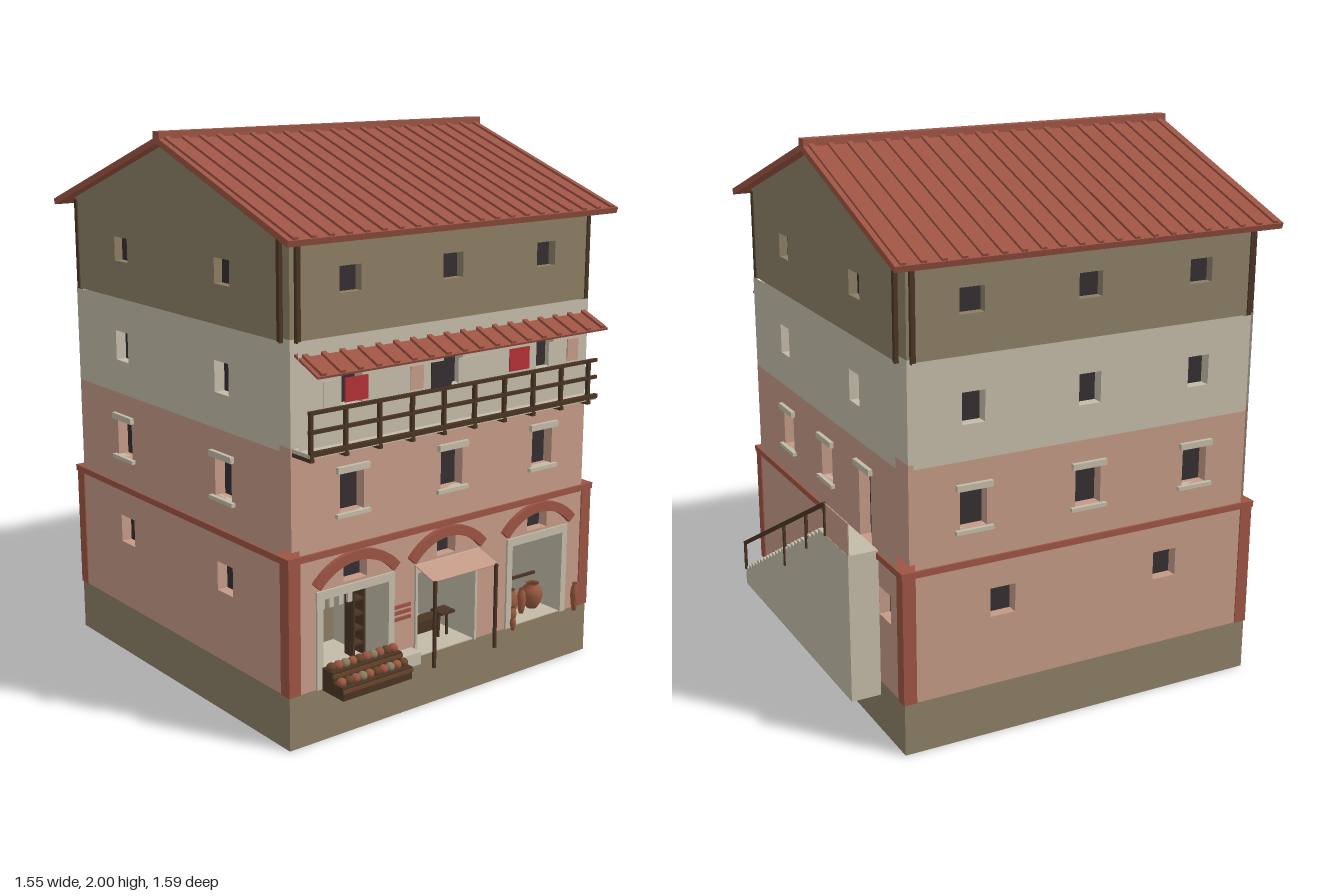
import * as THREE from 'three';

const mat = (name, color, side = THREE.DoubleSide) => {
  const m = new THREE.MeshStandardMaterial({ color, side });
  m.name = name;
  return m;
};

export function createModel() {
  const model = new THREE.Group();
  model.name = 'townhouse';
  const tan = mat('tan stone', 0x8c7e64), salmon = mat('salmon plaster', 0xc49a86);
  const beige = mat('beige plaster', 0xc4bba9), red = mat('roof red', 0x9d5444);
  const wood = mat('dark wood', 0x4a3524), brown = mat('brown wood', 0x6b452c);
  const dark = mat('dark opening', 0x352e30), cloth = mat('red cloth', 0xb43035);
  const clay = mat('clay', 0x9a5a40);
  const CX = -0.045, CZ = -0.033, H = 0.7, IN = 0.656;

  const add = (name, geo, m, parent = model) => {
    const mesh = new THREE.Mesh(geo, m);
    mesh.name = name;
    parent.add(mesh);
    return mesh;
  };
  // Box given by its minimum and maximum on each axis
  const box = (name, m, x0, x1, y0, y1, z0, z1, parent = model) => {
    const b = add(name, new THREE.BoxGeometry(x1 - x0, y1 - y0, z1 - z0), m, parent);
    b.position.set((x0 + x1) / 2, (y0 + y1) / 2, (z0 + z1) / 2);
    return b;
  };
  // Bar running between two points
  const beam = (name, m, p, q, w, h) => {
    const a = new THREE.Vector3(...p), b = new THREE.Vector3(...q);
    const bar = add(name, new THREE.BoxGeometry(w, h, a.distanceTo(b)), m);
    bar.position.copy(a).add(b).multiplyScalar(0.5);
    bar.lookAt(b);
    return bar;
  };
  const rect = (P, x0, x1, y0, y1) => {
    const p = new P();
    p.moveTo(x0, y0); p.lineTo(x1, y0); p.lineTo(x1, y1); p.lineTo(x0, y1); p.closePath();
    return p;
  };

  // Wall sheet with recessed windows [centre, bottom, width, height]; doors are open holes
  function wall(name, m, angle, y0, y1, dist, windows, trim = false, doors = []) {
    const g = new THREE.Group();
    g.name = name;
    g.position.set(CX, 0, CZ);
    g.rotation.y = angle;
    model.add(g);
    const shape = rect(THREE.Shape, -IN, IN, y0, y1);
    for (const [u, y, w, h] of [...windows, ...doors])
      shape.holes.push(rect(THREE.Path, u - w / 2, u + w / 2, y, y + h));
    add(name + 'Face', new THREE.ShapeGeometry(shape), m, g).position.z = dist;
    for (const [u, y, w, h] of windows) {
      const a = u - w / 2, b = u + w / 2, t = 0.002, zi = IN + 0.002;
      box('windowPane', dark, a, b, y, y + h, zi, zi + 0.002, g);
      box('windowReveal', m, a - t, a, y, y + h, zi, dist, g);
      box('windowReveal', m, b, b + t, y, y + h, zi, dist, g);
      box('windowReveal', m, a, b, y - t, y, zi, dist, g);
      box('windowReveal', m, a, b, y + h, y + h + t, zi, dist, g);
      if (trim) {
        box('lintel', beige, a - 0.017, b + 0.017, y + h, y + h + 0.022, dist - 0.02, dist + 0.015, g);
        if (y > 0.7) box('sill', beige, a - 0.02, b + 0.02, y - 0.014, y, dist - 0.02, dist + 0.015, g);
      }
    }
    return g;
  }

  // Plinth, cornice and corner piers
  box('plinth', tan, CX - H, CX + H, 0, 0.19, CZ - H, CZ + H);
  box('cornice', red, CX - 0.708, CX + 0.708, 0.65, 0.673, CZ - 0.708, CZ + 0.708);
  for (const i of [-1, 1]) for (const j of [-1, 1]) {
    const p = add('cornerPier', new THREE.BoxGeometry(0.048, 0.46, 0.048), red);
    p.position.set(CX + i * 0.68, 0.42, CZ + j * 0.68);
  }

  // Walls, in the order front, right, back, left
  const angles = [0, Math.PI / 2, Math.PI, -Math.PI / 2];
  const sides = ['front', 'right', 'back', 'left'];
  const row = (us, y, w, h) => us.map(u => [u, y, w, h]);
  const three = [-0.44, 0, 0.44], two = [-0.328, 0.328];
  const shops = [[-0.47, 0.28], [-0.064, 0.27], [0.382, 0.256]];
  const ground = [shops.map(([x], i) => [x - CX, 0.545, i === 1 ? 0.085 : 0.1, 0.07]),
    row([0.55], 0.445, 0.095, 0.105), row(two, 0.445, 0.095, 0.105), row(two, 0.445, 0.095, 0.105)];
  const doors = shops.map(([x, w]) => [x - CX, 0.19, w, 0.315]);
  angles.forEach((a, i) => {
    const many = i % 2 ? two : three;
    const second = i === 1 ? [...row([-0.32, 0.06], 0.787, 0.1, 0.138), [0.4, 0.68, 0.1, 0.255]]
      : row(many, 0.787, 0.1, 0.138);
    wall(sides[i] + 'GroundWall', salmon, a, 0.19, 0.65, H, ground[i], false, i ? [] : doors);
    wall(sides[i] + 'SecondWall', salmon, a, 0.67, 1.025, H, second, true);
    wall(sides[i] + 'ThirdWall', beige, a, 1.025, 1.38, H, row(many, 1.15, 0.085, 0.11));
    const g = wall(sides[i] + 'TopWall', tan, a, 1.38, 1.725, 0.692, row(many, 1.517, 0.09, 0.087));
    for (const s of [-1, 1])
      box('cornerTimber', wood, s * 0.65 - 0.008, s * 0.65 + 0.008, 1.375, 1.715, 0.683, 0.697, g);
  });
  for (const [m, y0, y1] of [[salmon, 0.67, 1.025], [beige, 1.025, 1.38], [tan, 1.38, 1.725]])
    box('innerCore', m, CX - IN, CX + IN, y0, y1, CZ - IN, CZ + IN);

  // Gable ends
  const tri = new THREE.Shape([new THREE.Vector2(-0.69, 1.72), new THREE.Vector2(0.69, 1.72), new THREE.Vector2(0, 1.965)]);
  for (const s of [-1, 1]) {
    const gable = add('gable', new THREE.ShapeGeometry(tri), tan);
    gable.position.set(CX + s * 0.692, 0, CZ);
    gable.rotation.y = s * Math.PI / 2;
  }

  // Main roof with rows of tiles
  for (const s of [-1, 1]) {
    const ze = CZ + s * 0.752;
    beam('roofSlope', red, [-0.0425, 1.97, CZ], [-0.0425, 1.7, ze], 1.465, 0.022);
    for (let i = 0; i < 21; i++) {
      const x = -0.745 + i * 0.0703;
      beam('roofTileRow', red, [x, 1.981, CZ], [x, 1.711, ze], 0.02, 0.018);
    }
    for (let i = 0; i < 8; i++) {
      const x = -0.65 + i * 0.173;
      beam('rafterEnd', wood, [x, 1.755, CZ + s * 0.58], [x, 1.709, CZ + s * 0.71], 0.016, 0.03);
    }
    box('eavesBeam', wood, -0.7, 0.61, 1.71, 1.727, CZ + s * 0.69 - 0.008, CZ + s * 0.69 + 0.008);
  }
  box('ridgeCap', red, -0.775, 0.69, 1.965, 2, CZ - 0.02, CZ + 0.02);

  // Balcony, its railing and tiled canopy
  box('balconyDeck', beige, -0.7, 0.61, 1.012, 1.026, 0.63, 0.725);
  box('balconyEdge', wood, -0.7, 0.61, 1.018, 1.034, 0.715, 0.731);
  for (const y of [1.097, 1.16]) box('balconyRail', wood, -0.7, 0.61, y - 0.006, y + 0.006, 0.714, 0.726);
  for (let i = 0; i < 10; i++) {
    const x = -0.693 + i * 0.14;
    box('balconyPost', wood, x - 0.006, x + 0.006, 1.0, 1.165, 0.714, 0.728);
    box('balconyJoist', wood, x - 0.008, x + 0.008, 1.0, 1.013, 0.63, 0.73);
  }
  beam('canopy', red, [-0.045, 1.335, 0.645], [-0.045, 1.282, 0.768], 1.31, 0.008);
  for (let i = 0; i < 18; i++) {
    const x = -0.675 + i * 0.0742;
    beam('canopyTileRow', red, [x, 1.343, 0.645], [x, 1.29, 0.768], 0.02, 0.012);
  }
  // Washing on the line
  for (const [m, x0, x1, y0] of [[cloth, -0.555, -0.46, 1.175], [dark, -0.19, -0.1, 1.165],
    [cloth, 0.17, 0.265, 1.175], [salmon, -0.28, -0.225, 1.175], [salmon, 0.455, 0.51, 1.175],
    [beige, -0.07, 0.06, 1.17], [beige, 0.36, 0.43, 1.17], [beige, -0.64, -0.59, 1.17]])
    box('washing', m, x0, x1, y0, 1.255, 0.717, 0.721);

  // Outside staircase with landing
  const st = new THREE.Shape();
  st.moveTo(-0.555, 0.135);
  const steps = 24, z0 = -0.555, run = 0.855 / steps, rise = 0.49 / steps;
  for (let i = 0; i < steps; i++) {
    st.lineTo(z0 + i * run, 0.19 + (i + 1) * rise);
    st.lineTo(z0 + (i + 1) * run, 0.19 + (i + 1) * rise);
  }
  st.lineTo(0.535, 0.68); st.lineTo(0.535, 0.135);
  const stairs = add('staircase', new THREE.ExtrudeGeometry(st, { depth: 0.11, bevelEnabled: false }), beige);
  stairs.rotation.y = Math.PI / 2;
  stairs.position.x = 0.655;
  box('landingParapet', salmon, 0.76, 0.764, 0.68, 0.797, -0.535, -0.335);
  beam('handrail', wood, [0.765, 0.31, 0.555], [0.765, 0.797, -0.335], 0.01, 0.014);
  for (const [z, y0, y1] of [[0.55, 0.2, 0.31], [0.085, 0.4, 0.565], [-0.15, 0.56, 0.695], [-0.335, 0.68, 0.797]])
    box('handrailPost', wood, 0.76, 0.77, y0, y1, z - 0.005, z + 0.005);

  // Shop rooms, frames and arches
  const R = 0.244, r = 0.208, a0 = Math.PI / 2 - 0.85;
  const arch = new THREE.Shape();
  arch.absarc(0, 0, R, a0, Math.PI - a0, false);
  arch.absarc(0, 0, r, Math.PI - a0, a0, true);
  const archGeo = new THREE.ExtrudeGeometry(arch, { depth: 0.025, bevelEnabled: false, curveSegments: 10 });
  const F = CZ + H;
  shops.forEach(([x, w], i) => {
    const a = x - w / 2, b = x + w / 2;
    box('shopBack', tan, a - 0.03, b + 0.03, 0.19, 0.54, 0.36, 0.365);
    box('shopSide', beige, a - 0.006, a, 0.19, 0.51, 0.365, F);
    box('shopSide', beige, b, b + 0.006, 0.19, 0.51, 0.365, F);
    box('shopCeiling', beige, a, b, 0.505, 0.51, 0.365, F);
    box('shopFloor', beige, a, b, 0.19, 0.194, 0.365, F);
    const f = i === 1 ? 0.01 : 0.026;
    box('doorFrame', beige, a - f, a, 0.19, 0.535, F - 0.01, F + 0.008);
    box('doorFrame', beige, b, b + f, 0.19, 0.535, F - 0.01, F + 0.008);
    box('doorHead', beige, a, b, 0.505, 0.535, F - 0.01, F + 0.008);
    box('doorLeaf', brown, a + 0.012, a + 0.05, 0.2, 0.48, 0.55, 0.562);
    const band = add('archBand', archGeo, red);
    band.position.set(x, 0.406, F - 0.008);
    if (i === 1) band.scale.x = 0.97;
  });

  // Cloth awning over the middle shop
  beam('awning', salmon, [-0.06, 0.535, F], [-0.06, 0.502, 0.77], 0.3, 0.003);
  for (const x of [-0.205, 0.08]) box('awningPole', wood, x - 0.005, x + 0.005, 0.19, 0.505, 0.766, 0.776);

  // Fruit stall and goods of the left shop
  for (let k = 0; k < 2; k++) {
    const z = 0.735 - k * 0.055, top = 0.235 + k * 0.035;
    box('stallCrate', wood, -0.62, -0.325, 0.19, top, z, z + 0.06);
    for (let i = 0; i < 10; i++) {
      const fruit = add('fruit', new THREE.IcosahedronGeometry(0.017, 1), [clay, brown, red, tan][(i + k) % 4]);
      fruit.position.set(-0.605 + i * 0.0295, top + 0.008, z + 0.03);
    }
    box('stallLip', brown, -0.622, -0.323, top - 0.018, top - 0.006, z + 0.057, z + 0.064);
  }
  for (let i = 0; i < 4; i++) box('hangingGoods', beige, -0.545 + i * 0.04, -0.525 + i * 0.04, 0.42, 0.5, 0.56, 0.57);
  for (const x of [-0.382, -0.336]) box('shelfSide', wood, x - 0.004, x + 0.004, 0.2, 0.5, 0.5, 0.55);
  for (let i = 0; i < 5; i++) box('shelfBoard', wood, -0.382, -0.336, 0.24 + i * 0.055, 0.248 + i * 0.055, 0.5, 0.55);

  // Bench, wall plaques and furniture of the middle shop
  box('bench', beige, -0.31, -0.22, 0.19, 0.235, F, 0.72);
  for (const y of [0.355, 0.378, 0.4]) box('wallPlaque', red, -0.305, -0.228, y - 0.006, y + 0.006, F, F + 0.006);
  box('picture', brown, -0.09, -0.04, 0.33, 0.385, 0.365, 0.372);
  box('counter', wood, -0.135, 0.045, 0.194, 0.238, 0.46, 0.52);
  box('tableTop', wood, -0.03, 0.035, 0.285, 0.295, 0.55, 0.61);
  for (const x of [-0.018, 0.022]) box('tableLeg', wood, x - 0.004, x + 0.004, 0.194, 0.29, 0.576, 0.584);

  // Clay jars of the right shop
  const profile = [[0, 0], [0.45, 0], [0.75, 0.2], [1, 0.55], [0.85, 0.8], [0.5, 0.92], [0.62, 1]];
  for (const [x, z, rad, h] of [[0.32, 0.6, 0.031, 0.11], [0.38, 0.6, 0.018, 0.1], [0.455, 0.58, 0.042, 0.1],
    [0.56, 0.7, 0.016, 0.11], [0.24, 0.7, 0.012, 0.05], [0.29, 0.64, 0.02, 0.06]]) {
    const pts = profile.map(([u, v]) => new THREE.Vector2(u * rad, v * h));
    add('clayJar', new THREE.LatheGeometry(pts, 12), clay).position.set(x, 0.193, z);
  }
  box('jarRail', wood, 0.3, 0.51, 0.305, 0.315, 0.53, 0.54);
  return model;
}
